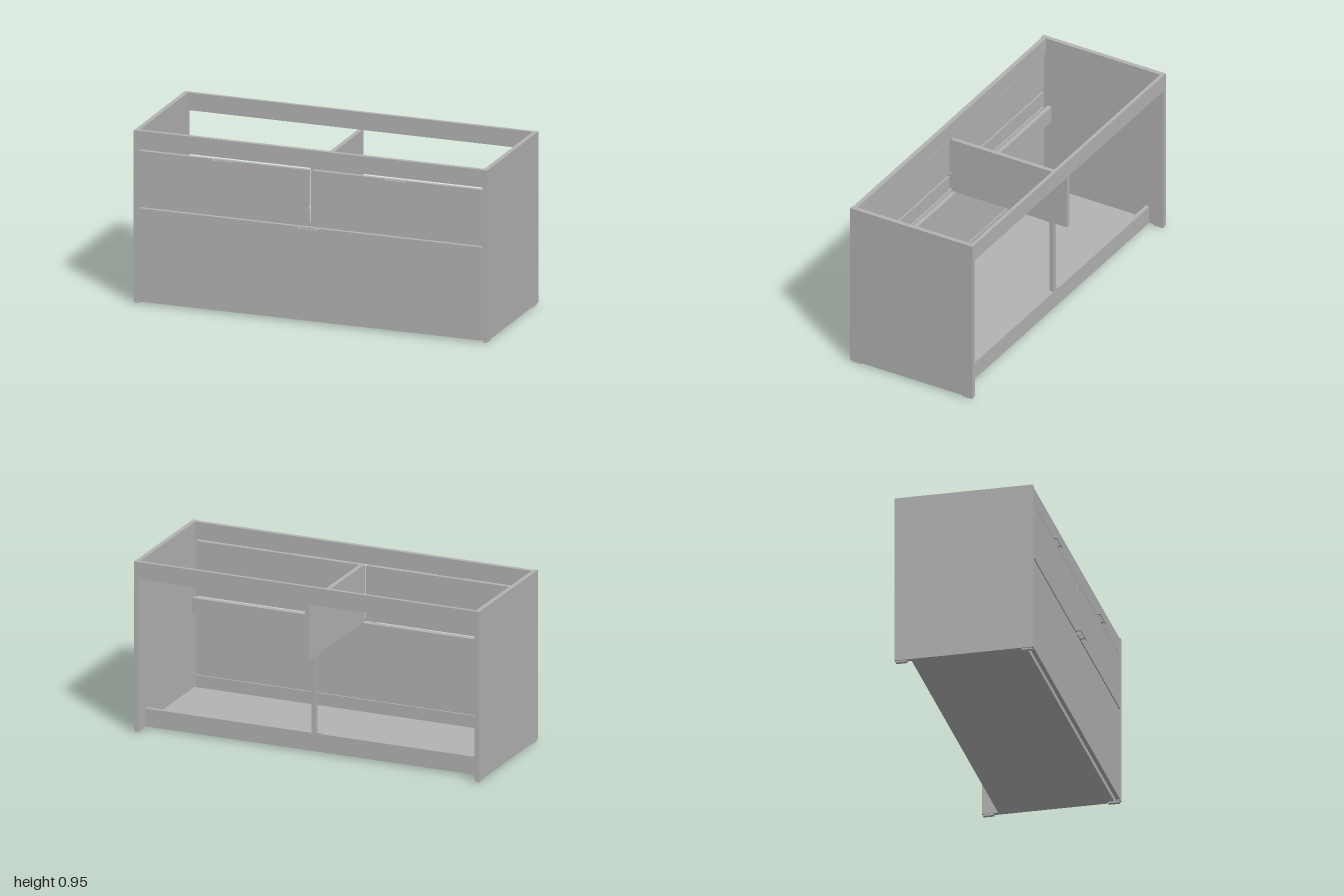
import * as THREE from 'three';

export function createModel() {
  const model = new THREE.Group();
  model.name = 'drawerCabinet';
  const grey = new THREE.MeshStandardMaterial({ color: 0xb2b2b2 });
  grey.name = 'panel grey';

  const add = (name, geometry, parent = model) => {
    const mesh = new THREE.Mesh(geometry, grey);
    mesh.name = name;
    parent.add(mesh);
    return mesh;
  };

  // Box given by its limits on each axis
  const box = (name, x0, x1, y0, y1, z0, z1) => {
    const mesh = add(name, new THREE.BoxGeometry(x1 - x0, y1 - y0, z1 - z0));
    mesh.position.set((x0 + x1) / 2, (y0 + y1) / 2, (z0 + z1) / 2);
    return mesh;
  };

  // Carcass sides and their feet
  for (const s of [-1, 1]) {
    const side = s > 0 ? 'left' : 'right';
    box(side + 'SidePanel', s * 0.9875 - 0.0125, s * 0.9875 + 0.0125, 0.01, 0.955, -0.395, 0.357);
    for (const z of [0.32, -0.36]) {
      box(side + 'Foot', s * 0.986 - 0.01, s * 0.986 + 0.01, 0, 0.006, z - 0.03, z + 0.03);
      box(side + 'FootStem', s * 0.986 - 0.008, s * 0.986 + 0.008, 0.006, 0.012, z - 0.025, z + 0.025);
    }
  }

  // Rails, floor, divider and rear post
  const W = 0.975;
  box('topFrontRail', -W, W, 0.858, 0.955, 0.327, 0.352);
  box('topBackRail', -W, W, 0.858, 0.955, -0.395, -0.375);
  box('middleFrontRail', -W, W, 0.45, 0.54, 0.292, 0.317);
  box('lowBackRail', -W, W, 0.01, 0.11, -0.307, -0.285);
  box('floorPanel', -W, W, 0.01, 0.034, -0.285, 0.322);
  box('divider', -0.0125, 0.0125, 0.54, 0.858, -0.39, 0.322);
  box('rearPost', -0.0125, 0.0125, 0.11, 0.54, -0.307, -0.28);

  // Angle brackets fixing the post
  box('lowBracketPlate', -0.045, -0.0125, 0.11, 0.114, -0.307, -0.285);
  box('lowBracketUpright', -0.0165, -0.0125, 0.114, 0.14, -0.305, -0.285);
  box('highBracketPlate', -0.01, 0.01, 0.515, 0.54, -0.28, -0.276);
  box('highBracketArm', -0.01, 0.01, 0.536, 0.54, -0.276, -0.25);

  // Drawer front: a panel with a groove along the back for the drawer floor
  const drawerFront = (name, x0, x1, y0, y1) => {
    const back = 0.335, front = 0.357, g0 = y0 + 0.085, g1 = y0 + 0.102, deep = 0.344;
    const profile = new THREE.Shape([
      [front, y0], [front, y1], [back, y1], [back, g1],
      [deep, g1], [deep, g0], [back, g0], [back, y0],
    ].map(([z, y]) => new THREE.Vector2(-z, y)));
    const geometry = new THREE.ExtrudeGeometry(profile, { depth: x1 - x0, bevelEnabled: false });
    geometry.rotateY(Math.PI / 2);
    add(name, geometry).position.x = x0;
  };
  drawerFront('upperLeftDrawerFront', 0.01, 0.969, 0.54, 0.846);
  drawerFront('upperRightDrawerFront', -0.969, -0.01, 0.54, 0.846);
  drawerFront('lowerDrawerFront', -0.969, 0.969, 0.012, 0.528);

  // Handle: flat U-shaped plate with a lip folded down at its outer edge
  const handle = (name, x, y, reach) => {
    const group = new THREE.Group();
    group.name = name;
    const outline = new THREE.Shape([
      [-0.059, -0.352], [-0.054, -reach], [0.054, -reach], [0.059, -0.352],
      [0.047, -0.352], [0.043, -reach + 0.01], [-0.043, -reach + 0.01], [-0.047, -0.352],
    ].map(([px, py]) => new THREE.Vector2(px, py)));
    const plate = new THREE.ExtrudeGeometry(outline, { depth: 0.003, bevelEnabled: false });
    plate.rotateX(-Math.PI / 2);
    add('handlePlate', plate, group);
    const lip = add('handleLip', new THREE.BoxGeometry(0.108, 0.012, 0.003), group);
    lip.position.set(0, -0.006, reach - 0.0015);
    group.position.set(x, y, 0);
    model.add(group);
  };
  handle('upperLeftHandle', 0.485, 0.845, 0.385);
  handle('upperRightHandle', -0.492, 0.845, 0.385);
  handle('lowerHandle', -0.003, 0.528, 0.397);

  // Screw caps on the inner faces of the sides, the divider and the drawer fronts
  const cap = new THREE.CylinderGeometry(0.004, 0.004, 0.002, 10);
  const screw = (x, y, z, alongX) => {
    const mesh = add('screwCap', cap);
    mesh.rotation[alongX ? 'z' : 'x'] = Math.PI / 2;
    mesh.position.set(x, y, z);
  };
  for (const s of [-1, 1]) {
    for (const y of [0.14, 0.64]) {
      for (const z of [0.28, 0.19, -0.02, -0.17]) screw(s * W, y, z, true);
    }
    for (const z of [0.28, -0.02, -0.3]) screw(s * 0.0125, 0.64, z, true);
    for (const y of [0.06, 0.2, 0.32, 0.58, 0.72, 0.8]) screw(s * 0.94, y, 0.335, false);
    for (const y of [0.58, 0.72, 0.8]) screw(s * 0.04, y, 0.335, false);
    for (const x of [0.43, 0.54]) screw(s * x, 0.82, 0.335, false);
  }
  // Screws holding the divider and post from behind
  screw(0, 0.9, -0.395, false);
  screw(0, 0.06, -0.307, false);

  return model;
}
